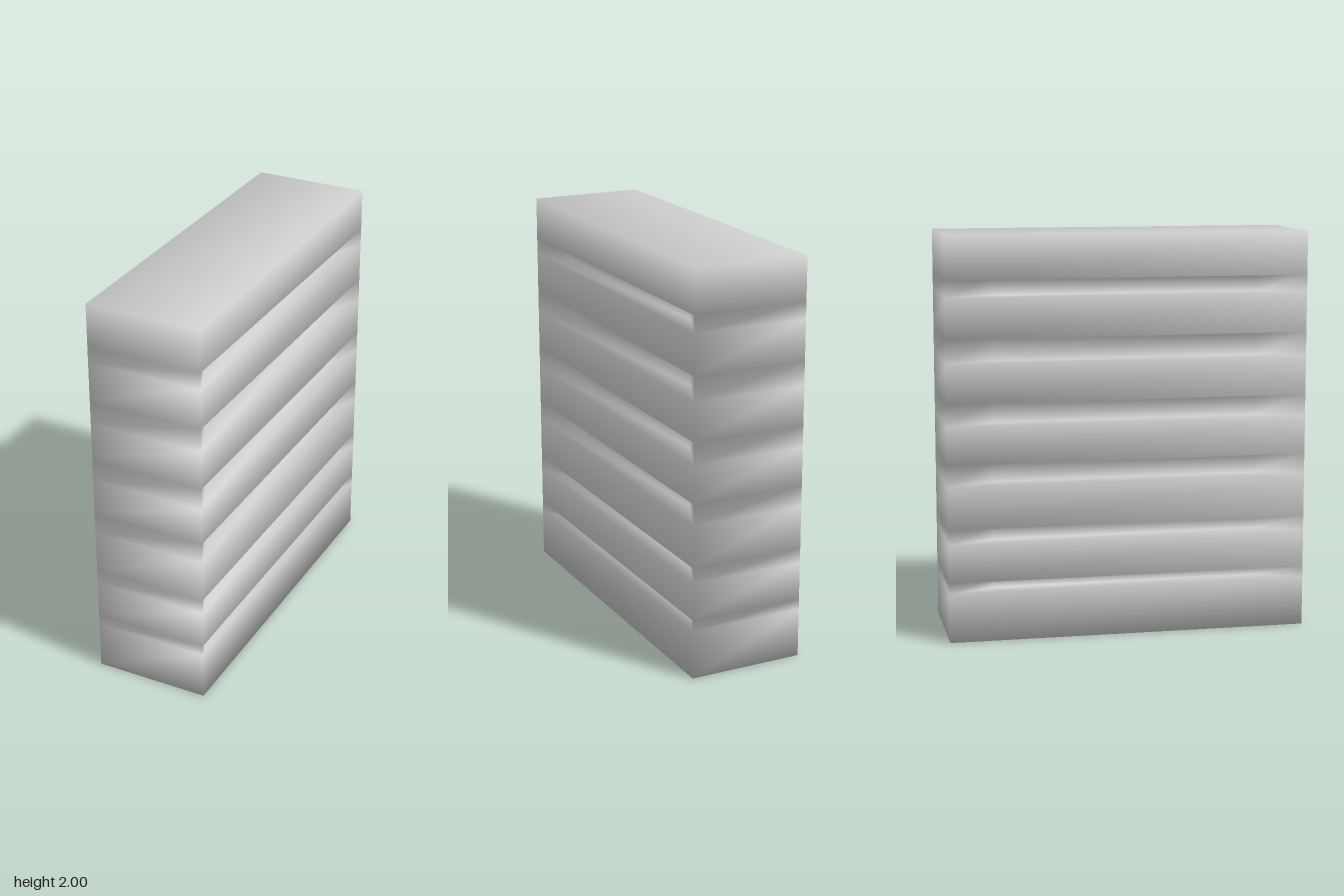
import * as THREE from 'three';
import { mergeVertices } from 'three/addons/utils/BufferGeometryUtils.js';

const X = 0.29, Z = 0.9, H = 2;   // half width, half depth, height
const DEPTH = 0.1, FLOOR_Z = 0.67; // slot depth and half length of its flat floor

// bottom and top of each slot
const SLOTS = [[0.245, 0.3], [0.49, 0.565], [0.78, 0.885], [1.075, 1.185], [1.38, 1.5], [1.7, 1.785]];

export function createModel() {
  const positions = [];

  // s = 1 or -1 turns the quad half way round the vertical axis
  const quad = (s, a, b, c, d) => {
    for (const [x, y, z] of [a, b, c, a, c, d]) positions.push(s * x, y, s * z);
  };

  // slot with level walls above and below and a ramp at each end
  const slot = (s, y0, y1) => {
    const xi = X - DEPTH;
    const A = [X, y0, Z], B = [X, y0, -Z], C = [X, y1, -Z], D = [X, y1, Z];
    const a = [xi, y0, FLOOR_Z], b = [xi, y0, -FLOOR_Z];
    const c = [xi, y1, -FLOOR_Z], d = [xi, y1, FLOOR_Z];
    quad(s, a, b, c, d);
    quad(s, A, a, d, D);
    quad(s, b, B, C, c);
    quad(s, A, B, b, a);
    quad(s, D, d, c, C);
  };

  const levels = [0, ...SLOTS.flat(), H];
  for (const s of [1, -1]) {
    for (let i = 0; i < levels.length - 1; i++) {
      const y0 = levels[i], y1 = levels[i + 1];
      // broad side: flat panels and slots in turn
      if (i % 2) slot(s, y0, y1);
      else quad(s, [X, y0, Z], [X, y0, -Z], [X, y1, -Z], [X, y1, Z]);
      // narrow end
      quad(s, [-X, y0, Z], [X, y0, Z], [X, y1, Z], [-X, y1, Z]);
    }
  }
  // top and bottom
  quad(1, [-X, H, Z], [X, H, Z], [X, H, -Z], [-X, H, -Z]);
  quad(1, [-X, 0, -Z], [X, 0, -Z], [X, 0, Z], [-X, 0, Z]);

  let geometry = new THREE.BufferGeometry();
  geometry.setAttribute('position', new THREE.Float32BufferAttribute(positions, 3));
  geometry = mergeVertices(geometry);
  geometry.computeVertexNormals(); // shared corners give soft shading throughout

  const block = new THREE.Mesh(geometry, new THREE.MeshStandardMaterial({ color: 0xcccccc }));
  block.name = 'slottedBlock';
  const group = new THREE.Group();
  group.name = 'model';
  group.add(block);
  return group;
}
